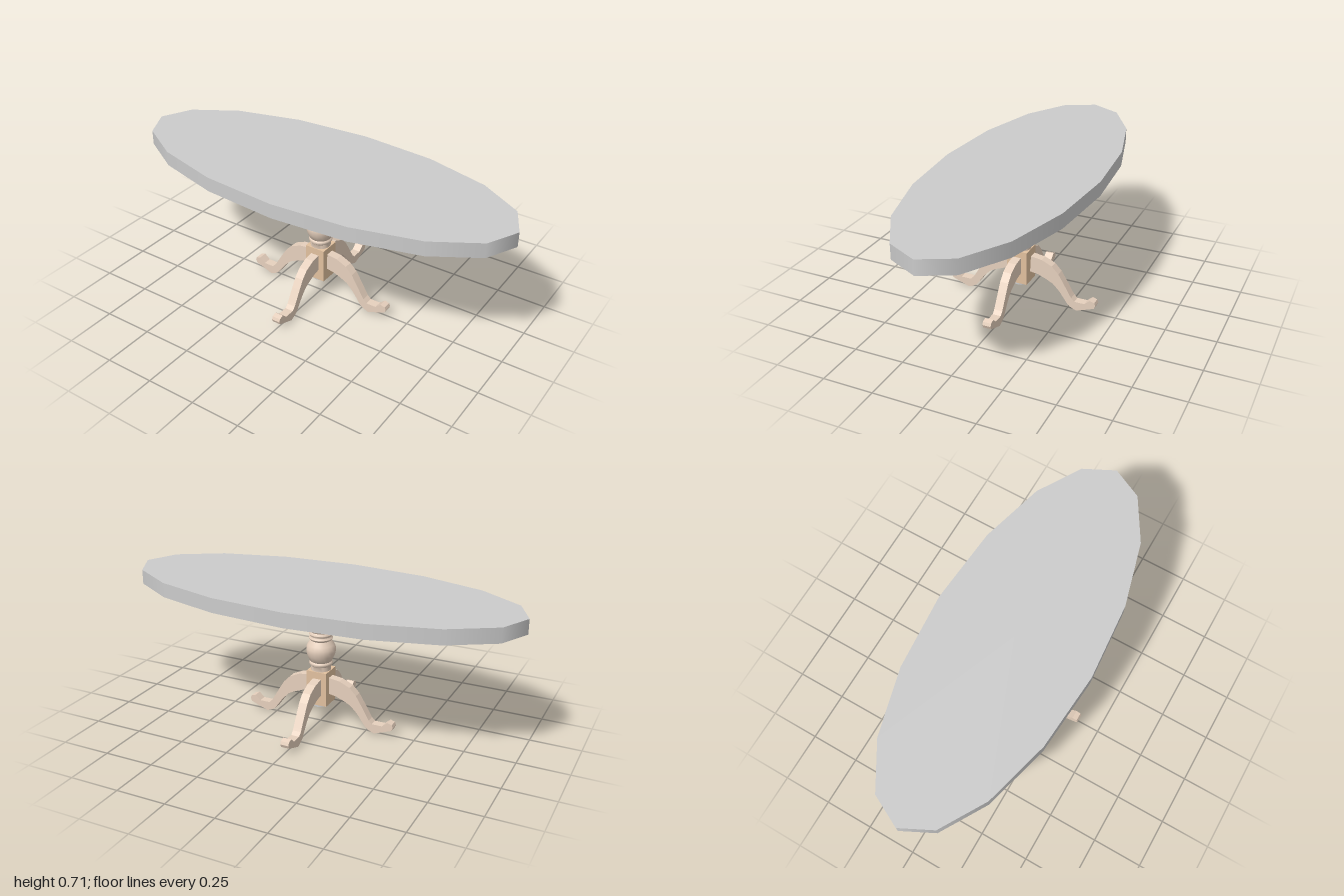
import * as THREE from 'three';
import { toCreasedNormals } from 'three/addons/utils/BufferGeometryUtils.js';

const CZ = 0.004; // centre line of the pedestal

const material = (color) => new THREE.MeshStandardMaterial({ color });

function addPart(parent, name, geometry, mat, x = 0, y = 0, z = 0) {
  const mesh = new THREE.Mesh(geometry, mat);
  mesh.name = name;
  mesh.position.set(x, y, z);
  parent.add(mesh);
  return mesh;
}

// Half-round bead for the turned column
const bead = (y0, y1, inner, outer) => [
  [inner, y0], [outer - 0.003, y0 + (y1 - y0) * 0.2], [outer, (y0 + y1) / 2],
  [outer - 0.003, y1 - (y1 - y0) * 0.2], [inner, y1],
];

export function createModel() {
  const model = new THREE.Group();
  model.name = 'pedestalTable';
  const grey = material(0xcccccc);
  const paleWood = material(0xe6d0bd);
  const darkWood = material(0xe2c19f);

  // Oval top, floating just above the column
  const top = new THREE.CylinderGeometry(1, 1, 0.073, 16);
  top.scale(1, 1, 0.398);
  addPart(model, 'tableTop', top, grey, 0, 0.6715, 0.003);

  // Turned column, from the hub up
  const profile = [
    [0, 0.28], [0.05, 0.28], [0.05, 0.308],
    ...bead(0.308, 0.33, 0.052, 0.059),
    [0.054, 0.332], [0.068, 0.362], [0.073, 0.383], [0.073, 0.4], [0.066, 0.418], [0.051, 0.44],
    ...bead(0.441, 0.461, 0.052, 0.059),
    ...bead(0.463, 0.484, 0.052, 0.059),
    [0.053, 0.486], [0.081, 0.528], [0.081, 0.571], [0.049, 0.606], [0, 0.606],
  ].map(([r, y]) => new THREE.Vector2(r, y));
  const column = toCreasedNormals(new THREE.LatheGeometry(profile, 20), 0.9);
  addPart(model, 'column', column, paleWood, 0, 0, CZ);

  // Square hub and the round plug beneath it
  addPart(model, 'hub', new THREE.BoxGeometry(0.106, 0.177, 0.106), darkWood, 0, 0.1965, CZ);
  addPart(model, 'hubPlug', new THREE.CylinderGeometry(0.041, 0.041, 0.03, 16), grey, 0, 0.107, CZ);

  // Leg outline: distance from the centre, height
  const outline = [
    [0.041, 0.252], [0.099, 0.244], [0.153, 0.22], [0.188, 0.184], [0.215, 0.14],
    [0.25, 0.08], [0.258, 0.067], [0.275, 0.05], [0.328, 0.05], [0.356, 0.075],
    [0.379, 0.067], [0.385, 0.052], [0.378, 0.036], [0.287, 0.002], [0.264, 0.011],
    [0.241, 0.026], [0.195, 0.09], [0.16, 0.125], [0.122, 0.144], [0.08, 0.16], [0.037, 0.167],
  ].map(([r, y]) => new THREE.Vector2(r, y));
  const width = 0.043;
  const leg = new THREE.ExtrudeGeometry(new THREE.Shape(outline), { depth: width, bevelEnabled: false });
  leg.translate(0, 0, -width / 2);

  // Four legs, each set out from the centre by a slightly different amount
  const legs = [
    ['leftLeg', 0, 0.009], ['backLeg', 1, 0.018], ['rightLeg', 2, 0.011], ['frontLeg', 3, 0],
  ];
  for (const [name, quarter, out] of legs) {
    const angle = quarter * Math.PI / 2;
    const mesh = addPart(model, name, leg, paleWood, Math.cos(angle) * out, 0, CZ - Math.sin(angle) * out);
    mesh.rotation.y = angle;
    if (name === 'backLeg') mesh.position.x -= 0.006;
  }
  return model;
}
